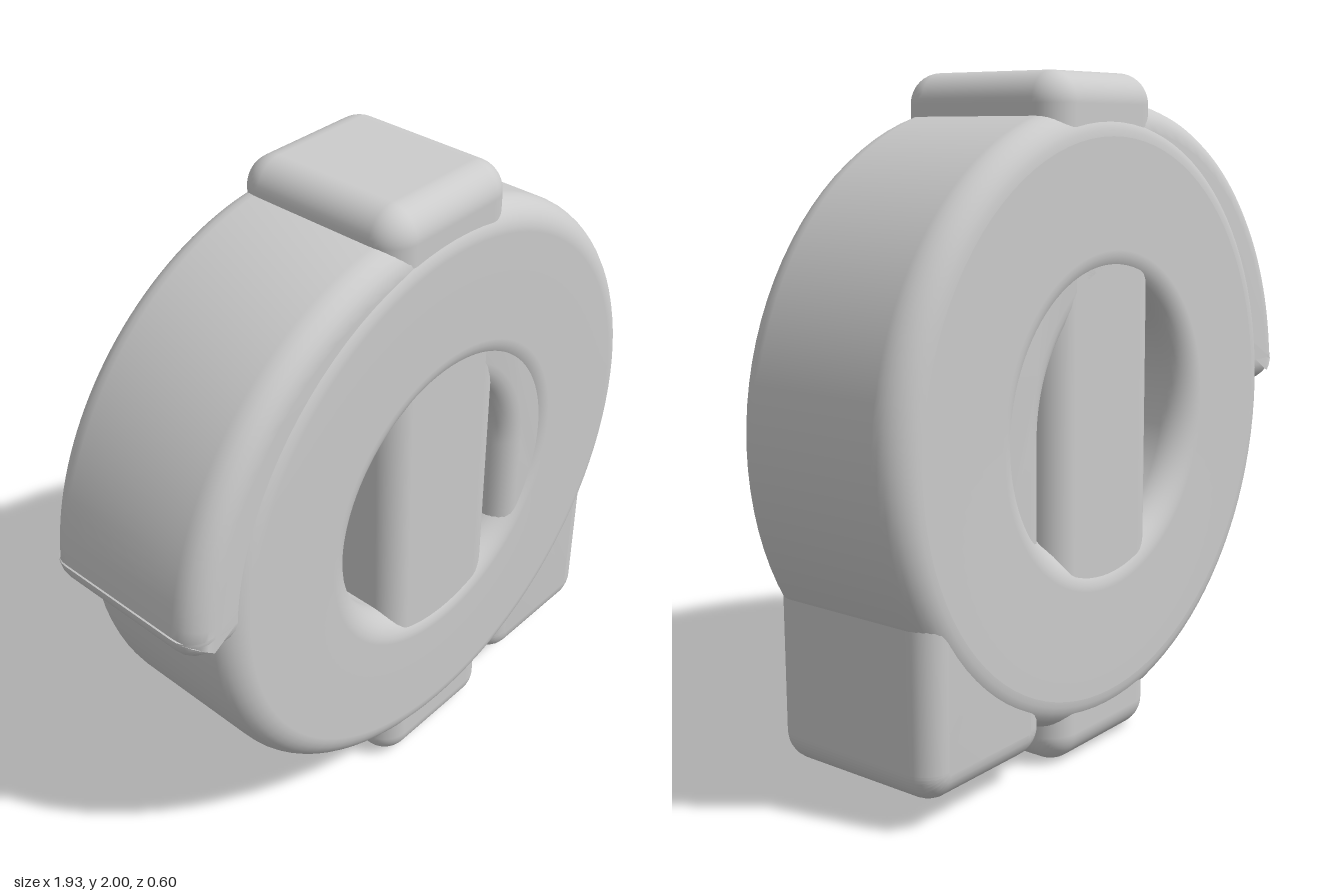
import * as THREE from 'three';
import { toCreasedNormals } from 'three/addons/utils/BufferGeometryUtils.js';
import { RoundedBoxGeometry } from 'three/addons/geometries/RoundedBoxGeometry.js';

const material = new THREE.MeshStandardMaterial({ color: 0xcccccc });

function part(name, geometry, x = 0, y = 0, z = 0) {
  const mesh = new THREE.Mesh(geometry, material);
  mesh.name = name;
  mesh.position.set(x, y, z);
  return mesh;
}

// Thick ring: a rounded rectangle turned about the z axis
function ringGeometry(inner, outer, half, r) {
  const corners = [
    [outer - r, -half + r, -0.5], [outer - r, half - r, 0],
    [inner + r, half - r, 0.5], [inner + r, -half + r, 1],
  ];
  const steps = 8;
  const profile = [];
  for (const [cx, cy, start] of corners) {
    for (let i = 0; i <= steps; i++) {
      const a = (start + 0.5 * i / steps) * Math.PI;
      profile.push(new THREE.Vector2(cx + r * Math.cos(a), cy + r * Math.sin(a)));
    }
  }
  profile.push(profile[0].clone());
  return new THREE.LatheGeometry(profile, 96).rotateX(Math.PI / 2);
}

// Arch over the top that runs down into a straight stem on the model's left
function hookGeometry() {
  const r = 0.09, PI = Math.PI;
  const shape = new THREE.Shape();
  shape.absarc(0.34 + r, 0.08 + r, r, PI, 1.5 * PI);
  shape.absarc(0.85 - r, 0.08 + r, r, -PI / 2, 0);
  shape.absellipse(-0.06, 1, 0.91, 0.92, 0, PI - 0.1);
  shape.absarc(-0.97 + r, 1 + r, r, PI, 1.5 * PI);
  shape.absarc(-0.44 - r, 1 + r, r, -PI / 2, 0);
  shape.absarc(-0.05, 1, 0.39, PI - 0.24, 0, true);
  const bevel = 0.08, half = 0.29;
  const geometry = new THREE.ExtrudeGeometry(shape, {
    depth: 2 * (half - bevel), bevelEnabled: true, bevelThickness: bevel,
    bevelSize: bevel, bevelOffset: -bevel, bevelSegments: 6, curveSegments: 40,
  });
  geometry.translate(0, 0, -(half - bevel));
  return toCreasedNormals(geometry, 0.6);
}

export function createModel() {
  const model = new THREE.Group();
  model.name = 'ringWithBarAndHook';
  model.add(part('ring', ringGeometry(0.41, 0.91, 0.3, 0.09), 0.05, 1, 0));
  model.add(part('verticalBar', new RoundedBoxGeometry(0.5, 2, 0.58, 6, 0.09), 0.05, 1, 0));
  model.add(part('hook', hookGeometry()));
  return model;
}
